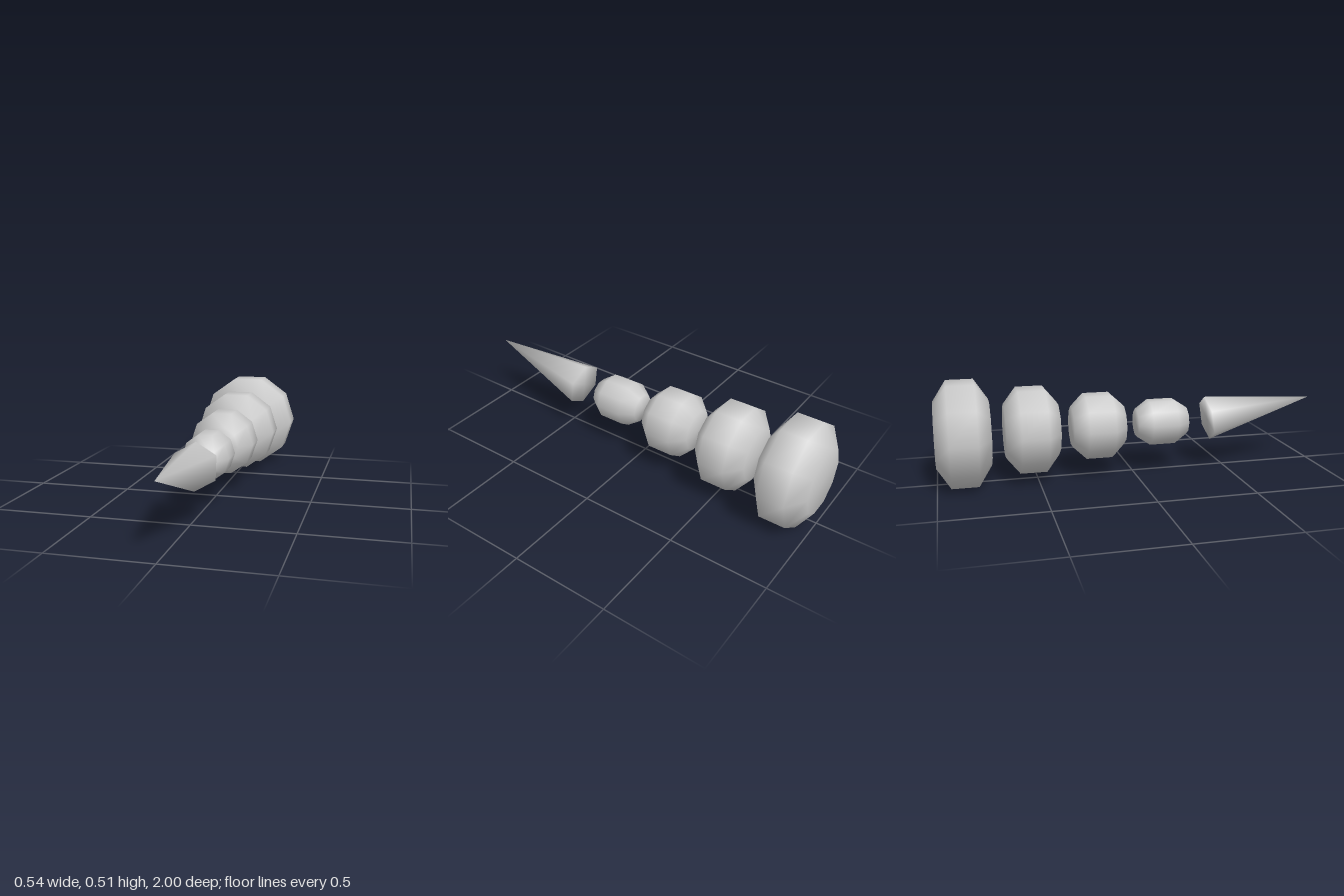
import * as THREE from 'three';
import { mergeVertices } from 'three/addons/utils/BufferGeometryUtils.js';

const material = new THREE.MeshStandardMaterial({ color: 0xcccccc });
const AXIS_Y = 0.257;

// Weld all corners so the whole surface shades smoothly
function smooth(geometry) {
  geometry.deleteAttribute('uv');
  geometry.deleteAttribute('normal');
  const welded = mergeVertices(geometry, 1e-4);
  welded.computeVertexNormals();
  return welded;
}

// Ten-sided bead with chamfered ends, lying along z
function bodySegment(radius, halfLength = 0.135) {
  const cap = radius * 0.615;
  const profile = [
    [0, -1], [cap, -1], [radius, -0.5], [radius, 0.5], [cap, 1], [0, 1],
  ].map(([r, t]) => new THREE.Vector2(r, t * halfLength));
  const geometry = new THREE.LatheGeometry(profile, 10, Math.PI / 2);
  geometry.rotateX(Math.PI / 2);
  return smooth(geometry);
}

export function createModel() {
  const model = new THREE.Group();
  model.name = 'segmentedSpike';

  // Row of beads growing toward the back
  for (let i = 0; i < 4; i++) {
    const segment = new THREE.Mesh(bodySegment(0.12 + 0.05 * i), material);
    segment.name = `bodySegment${i + 1}`;
    segment.position.set(0, AXIS_Y, 0.155 - 0.34 * i);
    model.add(segment);
  }

  // Six-sided pointed tip, tilted slightly upward
  const tip = new THREE.Mesh(smooth(new THREE.ConeGeometry(0.118, 0.594, 6)), material);
  tip.name = 'pointedTip';
  tip.rotation.x = 1.424;
  tip.position.set(0, 0.302, 0.706);
  model.add(tip);

  return model;
}
